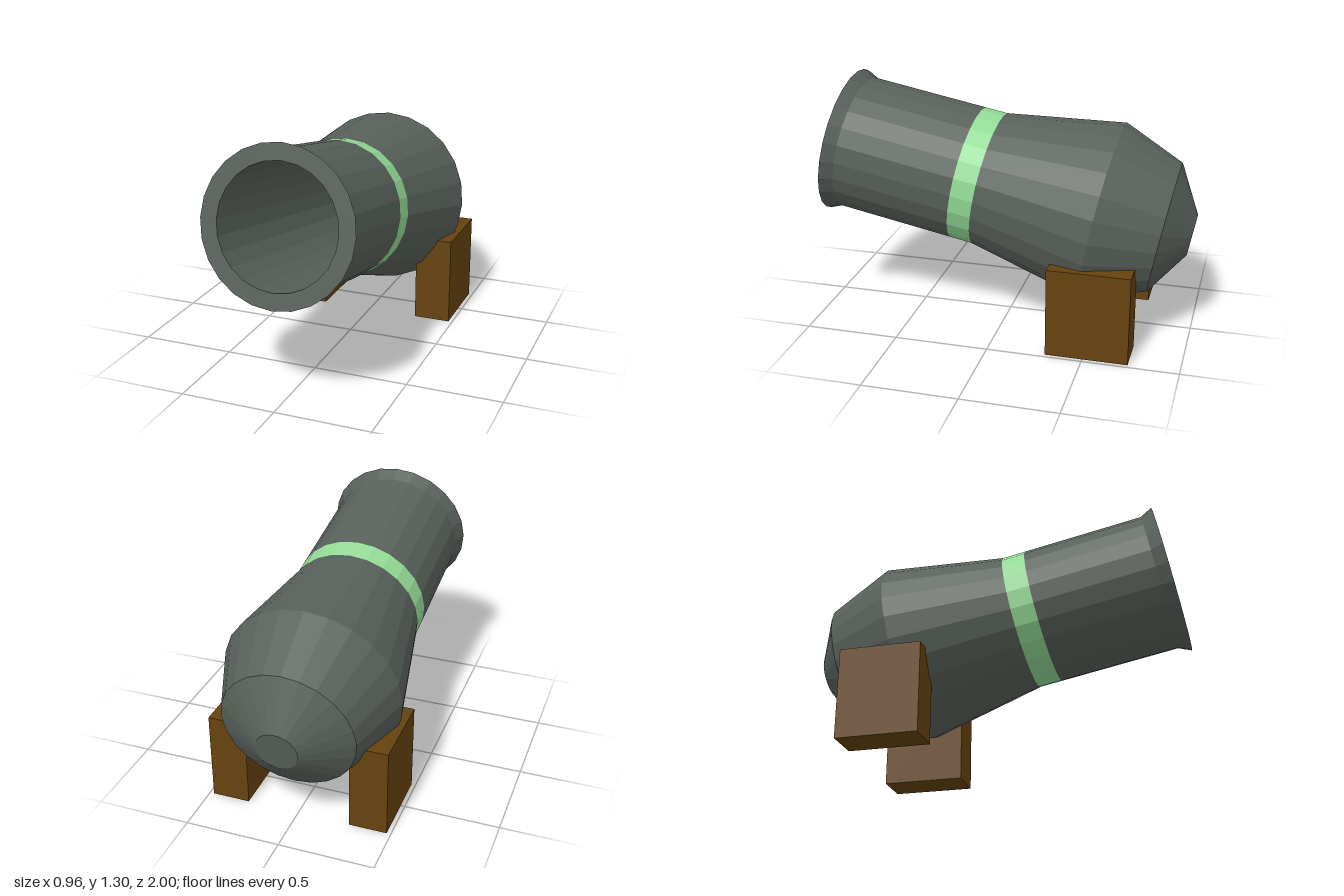
import * as THREE from 'three';

const SIDES = 24;
const TILT = THREE.MathUtils.degToRad(11);

const material = (color) => new THREE.MeshStandardMaterial({ color, flatShading: true });

// Turns a [radius, distance along the axis] profile into a faceted mesh.
function turned(name, profile, mat) {
  const points = profile.map(([r, y]) => new THREE.Vector2(r, y));
  const mesh = new THREE.Mesh(new THREE.LatheGeometry(points, SIDES), mat);
  mesh.name = name;
  return mesh;
}

export function createModel() {
  const model = new THREE.Group();
  model.name = 'mortar';

  const iron = material(0x59615b);
  const paint = material(0x94dc97);
  const wood = material(0x66430f);

  // Barrel: axis runs along local y, with the muzzle centre at the origin
  const barrel = new THREE.Group();
  barrel.name = 'barrel';
  barrel.position.set(0, 0.916, 0.925);
  barrel.rotation.x = Math.PI / 2 - TILT;

  // Rounded breech swelling to the chamber, then narrowing to the band
  barrel.add(turned('breech', [
    [0, -1.94], [0.11, -1.94], [0.351, -1.793], [0.478, -1.46], [0.363, -0.83],
  ], iron));

  // Painted band
  barrel.add(turned('band', [[0.363, -0.83], [0.363, -0.708]], paint));

  // Tube with flared lip, muzzle face, bore and bore floor
  barrel.add(turned('muzzle', [
    [0.363, -0.708], [0.363, -0.067], [0.394, 0],
    [0.309, 0], [0.309, -1.72], [0, -1.72],
  ], iron));
  model.add(barrel);

  // Wooden support blocks on both sides of the chamber
  for (const side of [1, -1]) {
    const block = new THREE.Mesh(new THREE.BoxGeometry(0.2, 0.478, 0.43), wood);
    block.name = side > 0 ? 'leftSupport' : 'rightSupport';
    block.position.set(side * 0.378, 0.239, -0.52);
    model.add(block);
  }

  return model;
}
